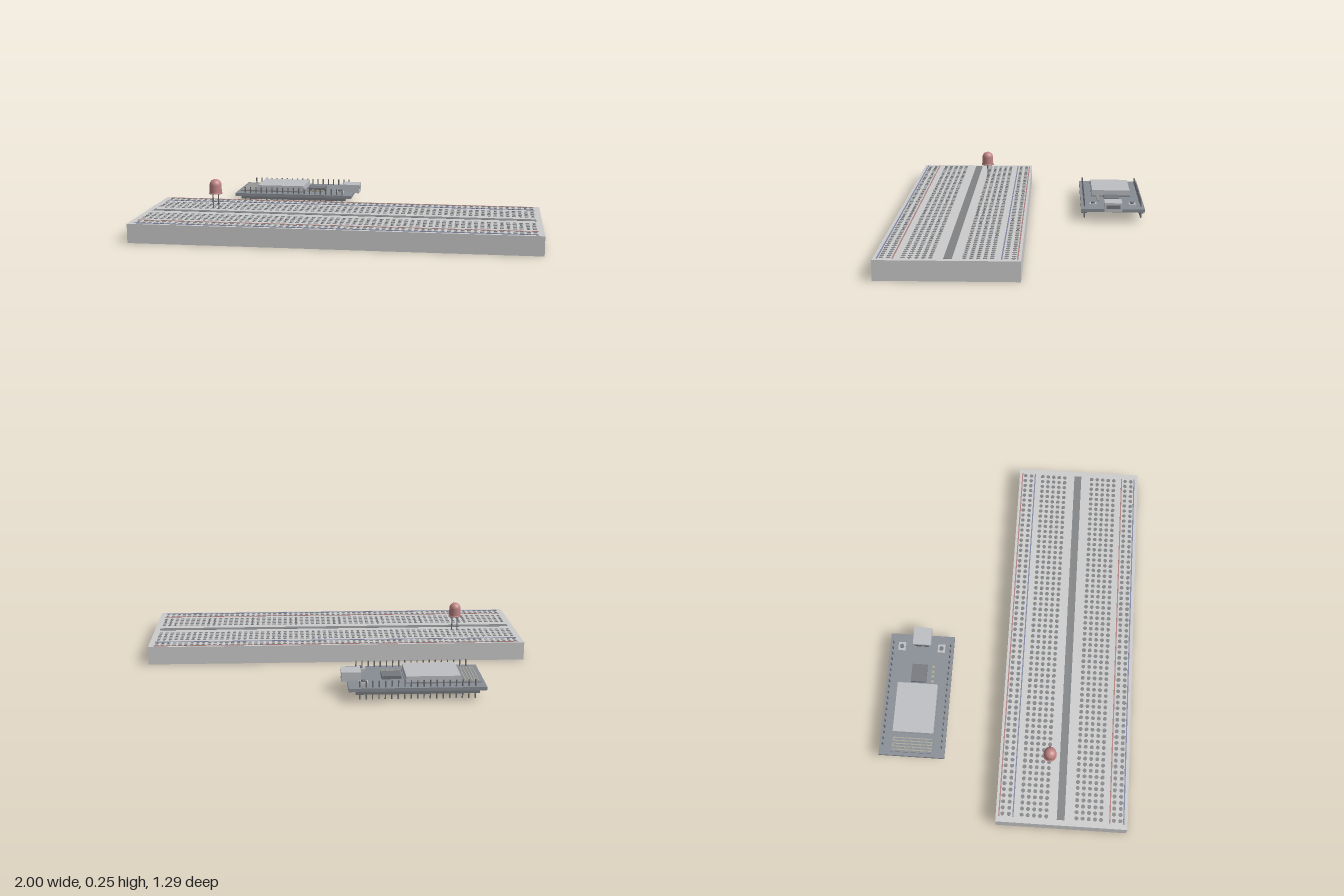
import * as THREE from 'three';
import { mergeGeometries } from 'three/addons/utils/BufferGeometryUtils.js';

const mat = (color) => new THREE.MeshStandardMaterial({ color });
const GREY = mat(0xcccccc), DARK = mat(0x808284), PCB = mat(0x888d94), CHIP = mat(0x75787d);
const METAL = mat(0xbcbec2), PIN = mat(0x6c6e72), LENS = mat(0xc08585), GOLD = mat(0xa8a598);
const RED = mat(0xb08080), BLUE = mat(0x8085a5);

// Box geometry given by its extents
function boxGeo(x0, x1, y0, y1, z0, z1) {
  return new THREE.BoxGeometry(x1 - x0, y1 - y0, z1 - z0)
    .translate((x0 + x1) / 2, (y0 + y1) / 2, (z0 + z1) / 2);
}

function add(parent, name, geo, material) {
  const mesh = new THREE.Mesh(Array.isArray(geo) ? mergeGeometries(geo) : geo, material);
  mesh.name = name;
  parent.add(mesh);
  return mesh;
}

function group(parent, name) {
  const g = new THREE.Group();
  g.name = name;
  parent.add(g);
  return g;
}

const PITCH = 0.0309;
const TOP = 0.096;

function buildBreadboard(root) {
  const g = group(root, 'breadboard');
  const mid = 0.311;
  add(g, 'boardBody', boxGeo(-1, 1, 0, TOP, -0.019, 0.645), GREY);
  add(g, 'centreChannel', boxGeo(-0.972, 0.972, TOP - 0.01, TOP + 0.001, 0.289, 0.328), DARK);

  // Contact holes: five rows and two power rails on each side of the channel
  const holes = [];
  for (const side of [-1, 1]) {
    for (const d of [0.076, 0.107, 0.138, 0.169, 0.2, 0.264, 0.297]) {
      for (let i = 0; i < 63; i++) {
        holes.push(new THREE.CylinderGeometry(0.0105, 0.0105, 0.003, 8)
          .rotateY(Math.PI / 8)
          .translate((i - 31) * PITCH, TOP - 0.0005, mid + side * d));
      }
    }
  }
  add(g, 'contactHoles', holes, DARK);

  // Printed stripes beside the power rails
  const stripe = (z) => boxGeo(-0.972, 0.972, TOP - 0.002, TOP + 0.002, z - 0.003, z + 0.003);
  add(g, 'positiveStripes', [stripe(-0.003), stripe(0.555)], RED);
  add(g, 'negativeStripes', [stripe(0.068), stripe(0.625)], BLUE);
}

function buildLed(root) {
  const g = group(root, 'led');
  g.position.set(-0.661, 0, 0.235);
  // Lens profile: flange, straight wall, dome
  const profile = [[0, 0.175], [0.035, 0.175], [0.035, 0.18], [0.031, 0.18]]
    .map(([r, y]) => new THREE.Vector2(r, y));
  const flange = new THREE.LatheGeometry(profile, 24);
  const wall = new THREE.CylinderGeometry(0.031, 0.031, 0.043, 24, 1, true).translate(0, 0.1985, 0);
  const dome = new THREE.SphereGeometry(0.031, 24, 10, 0, Math.PI * 2, 0, Math.PI / 2)
    .translate(0, 0.22, 0);
  const lens = add(g, 'lens', [wall, dome], LENS);
  lens.material.side = THREE.DoubleSide;
  add(g, 'lensFlange', flange, LENS);
  for (const [name, x] of [['anodeLeg', 0.0145], ['cathodeLeg', -0.0145]]) {
    add(g, name, new THREE.CylinderGeometry(0.003, 0.003, 0.1, 8).translate(x, 0.128, 0), PIN);
  }
}

function buildController(root) {
  const g = group(root, 'controllerBoard');
  g.position.z = -0.475;
  add(g, 'circuitBoard', boxGeo(-0.69, -0.026, 0.055, 0.072, -0.17, 0.17), PCB);

  // Pin headers along both long edges
  for (const side of [-1, 1]) {
    const z = side * 0.152;
    const name = side > 0 ? 'front' : 'back';
    add(g, name + 'HeaderStrip', boxGeo(-0.656, -0.06, 0.04, 0.055, z - 0.014, z + 0.014), CHIP);
    const pins = [];
    for (let i = 0; i < 19; i++) {
      const x = -0.358 + (i - 9) * PITCH;
      pins.push(boxGeo(x - 0.003, x + 0.003, 0.012, 0.105, z - 0.003, z + 0.003));
    }
    add(g, name + 'HeaderPins', pins, PIN);

    // Push button on each side of the socket
    const bz = side * 0.105;
    add(g, name + 'ButtonBase', boxGeo(-0.123, -0.077, 0.072, 0.086, bz - 0.019, bz + 0.019), METAL);
    add(g, name + 'ButtonCap',
      new THREE.CylinderGeometry(0.011, 0.011, 0.008, 12).translate(-0.1, 0.09, bz), CHIP);
  }

  // Radio module with shield can and printed antenna
  add(g, 'radioModule', boxGeo(-0.672, -0.303, 0.072, 0.079, -0.108, 0.108), PCB);
  add(g, 'shieldCan', boxGeo(-0.572, -0.307, 0.079, 0.108, -0.105, 0.105), METAL);
  const traces = [];
  for (let i = 0; i < 5; i++) {
    const x = -0.66 + i * 0.0155;
    traces.push(boxGeo(x - 0.003, x + 0.003, 0.078, 0.081, -0.103, 0.103));
    // Alternate ends join to make the meander
    if (i < 4) {
      const z = i % 2 ? -0.1 : 0.1;
      traces.push(boxGeo(x, x + 0.0155, 0.078, 0.0808, z - 0.003, z + 0.003));
    }
  }
  add(g, 'antennaTrace', traces, GOLD);

  // Interface chip and small parts
  add(g, 'interfaceChip', boxGeo(-0.291, -0.195, 0.072, 0.088, -0.04, 0.04), CHIP);
  const small = [-0.285, -0.258, -0.232, -0.205]
    .map((x) => boxGeo(x - 0.008, x + 0.008, 0.072, 0.082, 0.066, 0.08));
  add(g, 'smallComponents', small, GOLD);

  // Socket shell, open toward +x
  const shell = new THREE.Shape();
  shell.moveTo(-0.047, 0.064).lineTo(0.047, 0.064).lineTo(0.047, 0.112).lineTo(-0.047, 0.112);
  const opening = new THREE.Path();
  opening.moveTo(-0.037, 0.075).lineTo(-0.037, 0.1).lineTo(0.037, 0.1).lineTo(0.037, 0.075);
  shell.holes.push(opening);
  const shellGeo = new THREE.ExtrudeGeometry(shell, { depth: 0.096, bevelEnabled: false })
    .rotateY(Math.PI / 2).translate(-0.093, 0, 0);
  add(g, 'socketShell', shellGeo, METAL);
  add(g, 'socketInsert', boxGeo(-0.092, -0.004, 0.074, 0.101, -0.038, 0.038), CHIP);
}

export function createModel() {
  const root = new THREE.Group();
  root.name = 'electronicsKit';
  buildBreadboard(root);
  buildLed(root);
  buildController(root);
  return root;
}
